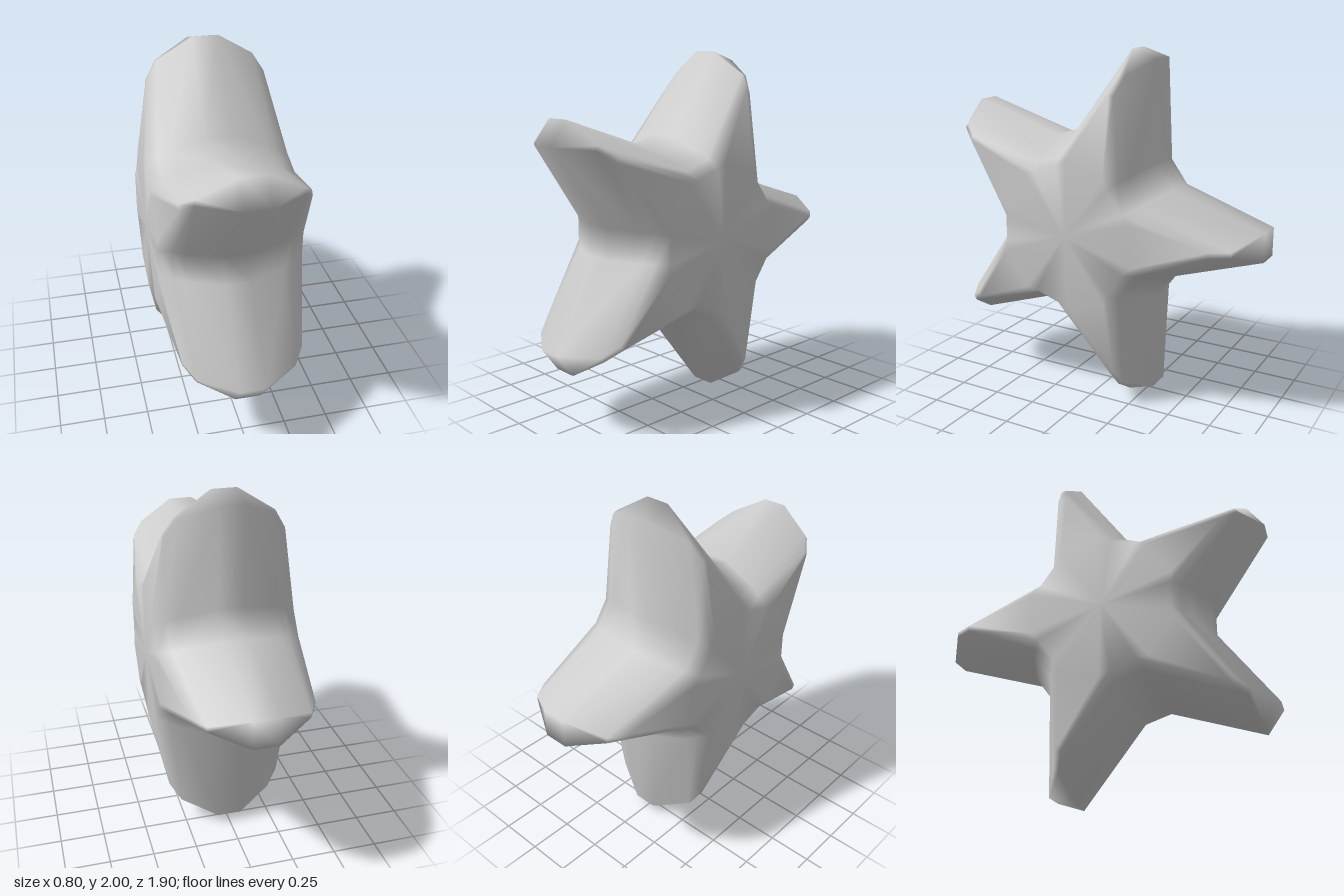
import * as THREE from 'three';

// Five-armed puffy star lying in the YZ plane, thick along x.
const CENTRE_Y = 1, CENTRE_Z = 0.075, ARMS = 5;

// Half cross-sections: x, tip radius, tip half-width, valley radius, valley half-width
const HALF = [
  [0.07, 1.025, 0.08, 0.545, 0.088],
  [0.27, 0.915, 0.015, 0.47, 0.085],
  [0.33, 0.815, 0.015, 0.43, 0.085],
  [0.40, 0.405, 0.12, 0.385, 0.075],
];

function createStarGeometry() {
  const rings = [
    ...HALF.slice().reverse().map(([x, ...r]) => [-x, ...r]),
    ...HALF,
  ];
  const positions = [], index = [];
  const n = ARMS * 4;

  // A point at a distance along a direction, shifted sideways by w
  const addPoint = (x, angle, r, w) => positions.push(
    x,
    CENTRE_Y + r * Math.sin(angle) + w * Math.cos(angle),
    CENTRE_Z + r * Math.cos(angle) - w * Math.sin(angle),
  );

  // Each arm gives four points per ring: a blunt tip and a blunt valley
  for (const [x, tipR, tipW, valleyR, valleyW] of rings) {
    for (let k = 0; k < ARMS; k++) {
      const tip = Math.PI + (k * 2 * Math.PI) / ARMS;
      const valley = tip + Math.PI / ARMS;
      addPoint(x, tip, tipR, -tipW);
      addPoint(x, tip, tipR, tipW);
      addPoint(x, valley, valleyR, -valleyW);
      addPoint(x, valley, valleyR, valleyW);
    }
  }

  // Skin between rings, with diagonals mirrored on both flanks of every arm
  for (let i = 0; i < rings.length - 1; i++) {
    for (let j = 0; j < n; j++) {
      const next = (j + 1) % n;
      const a = i * n + j, b = (i + 1) * n + j;
      const c = (i + 1) * n + next, d = i * n + next;
      const flip = (j % 4 === 3) !== (rings[i][0] < 0);
      if (flip) index.push(a, b, d, b, c, d);
      else index.push(a, b, c, a, c, d);
    }
  }

  // Flat side faces
  const left = positions.length / 3;
  positions.push(-0.4, CENTRE_Y, CENTRE_Z, 0.4, CENTRE_Y, CENTRE_Z);
  const last = (rings.length - 1) * n;
  for (let j = 0; j < n; j++) {
    const next = (j + 1) % n;
    index.push(left, j, next);
    index.push(left + 1, last + next, last + j);
  }

  const geometry = new THREE.BufferGeometry();
  geometry.setAttribute('position', new THREE.Float32BufferAttribute(positions, 3));
  geometry.setIndex(index);
  geometry.computeVertexNormals();
  return geometry;
}

export function createModel() {
  const group = new THREE.Group();
  group.name = 'starModel';
  const star = new THREE.Mesh(
    createStarGeometry(),
    new THREE.MeshStandardMaterial({ color: 0xcccccc }),
  );
  star.name = 'star';
  group.add(star);
  return group;
}
